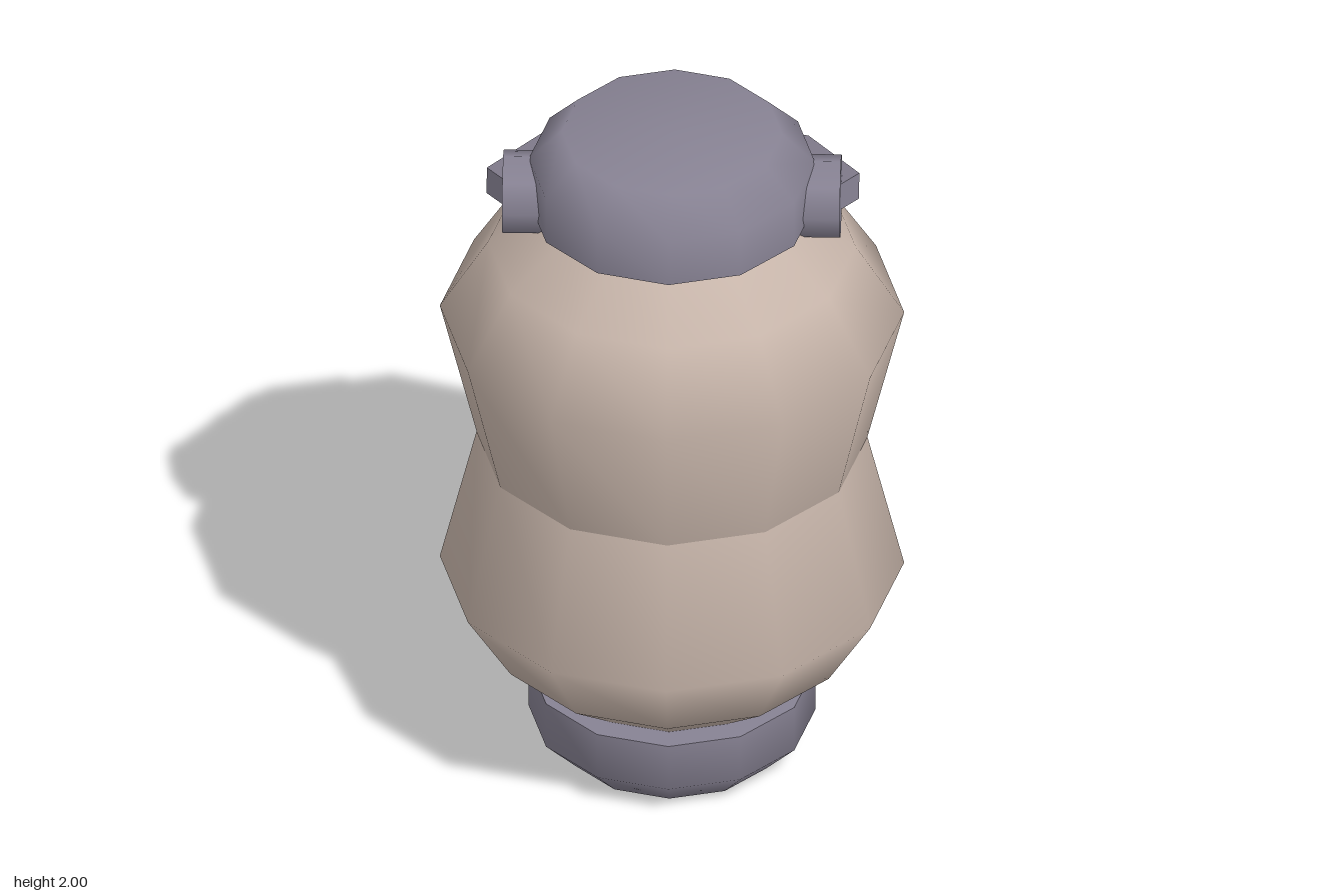
import * as THREE from 'three';

const SIDES = 12;

const lathe = (points) =>
  new THREE.LatheGeometry(points.map(([r, y]) => new THREE.Vector2(r, y)), SIDES);

export function createModel() {
  const model = new THREE.Group();
  model.name = 'lantern';

  const clay = new THREE.MeshStandardMaterial({ color: 0xc6b4a9 });
  clay.name = 'warm beige';
  const metal = new THREE.MeshStandardMaterial({ color: 0x878293 });
  metal.name = 'grey violet metal';

  const add = (name, geometry, material, parent = model) => {
    const mesh = new THREE.Mesh(geometry, material);
    mesh.name = name;
    parent.add(mesh);
    return mesh;
  };

  // Each half is a bulging body with a bevelled cap at its end; the upper half is turned over
  const bulge = lathe([[0.32, 0.235], [0.5, 0.37], [0.632, 0.585], [0.532, 1]]);
  const cap = lathe([[0, 0], [0.3, 0], [0.39, 0.093], [0.39, 0.235]]);
  const rim = lathe([[0.39, 0.235], [0.3, 0.235]]);
  for (const side of ['lower', 'upper']) {
    const half = new THREE.Group();
    half.name = side + 'Half';
    add(side + 'Body', bulge, clay, half);
    add(side + 'Cap', cap, metal, half);
    add(side + 'CapRim', rim, metal, half);
    if (side === 'upper') {
      half.rotation.x = Math.PI;
      half.position.y = 2;
    }
    model.add(half);
  }

  // Octagonal lugs on both sides of the upper cap
  for (const s of [1, -1]) {
    const lug = new THREE.CylinderGeometry(0.115, 0.115, 0.14, 8);
    lug.rotateZ(Math.PI / 2);
    add(s > 0 ? 'leftLug' : 'rightLug', lug, metal).position.set(s * 0.39, 1.797, 0);
  }

  // Flat angular carrying handle, folded down towards the back
  const outer = [[0.46, 0], [0.507, 0.11], [0.36, 0.472], [0, 0.62]];
  const inner = [[0, 0.522], [0.292, 0.405], [0.412, 0.115], [0.365, 0]];
  const mirror = (points) => points.map(([x, y]) => [-x, y]).reverse();
  const outline = [...outer, ...mirror(outer).slice(1), ...mirror(inner), ...inner.slice(1)];
  // Tail of the inner run follows the left side back to the start
  const shape = new THREE.Shape(outline.map(([x, y]) => new THREE.Vector2(x, y)));
  const handle = new THREE.ExtrudeGeometry(shape, { depth: 0.072, bevelEnabled: false });
  handle.translate(0, 0, -0.036);
  handle.rotateX(-Math.PI / 2 - 0.328);
  add('handle', handle, metal).position.y = 1.795;

  return model;
}
